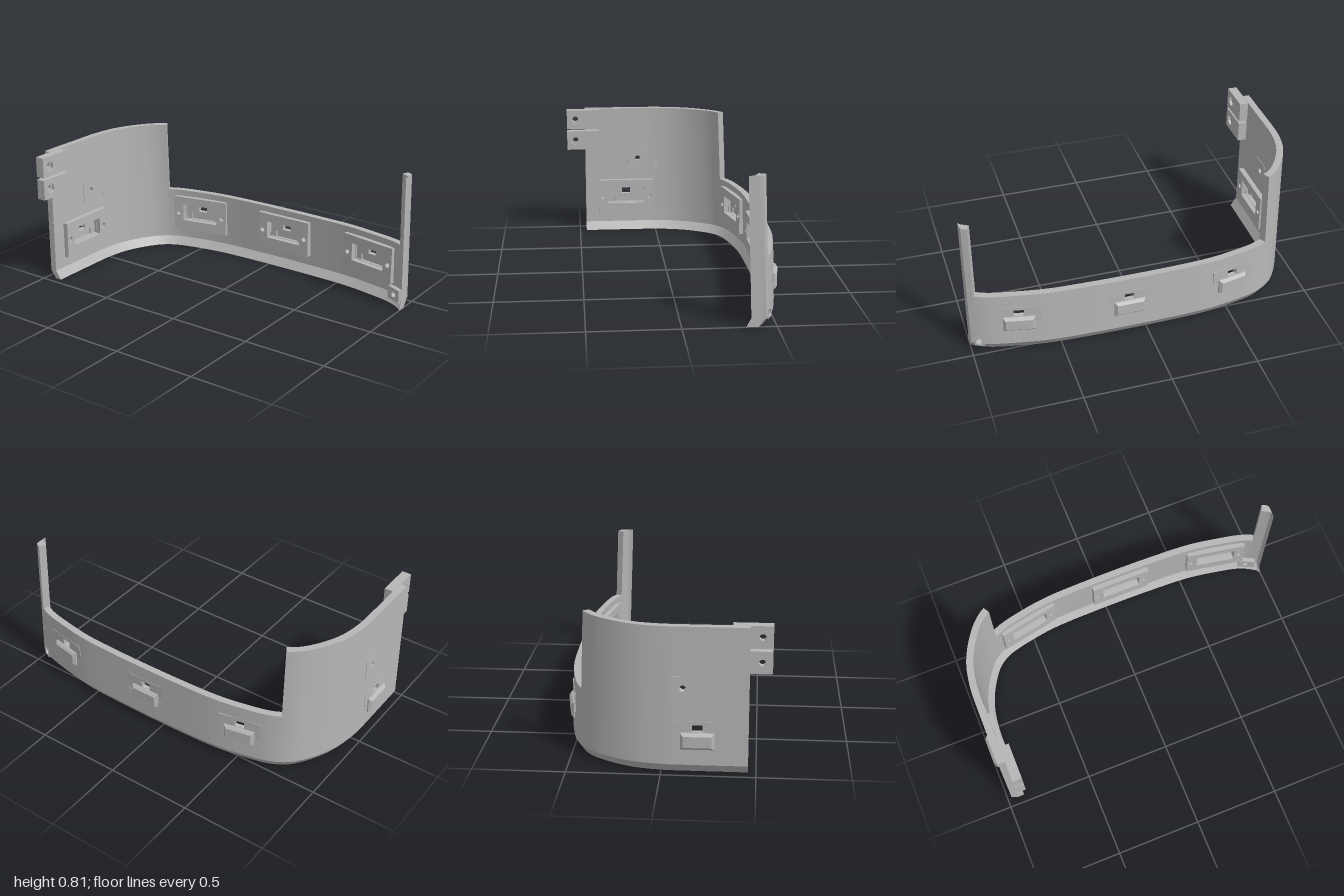
import * as THREE from 'three';
import { mergeGeometries, toCreasedNormals } from 'three/addons/utils/BufferGeometryUtils.js';

const THICK = 0.04, TALL = 0.812, LOW = 0.375, CHAMFER = 0.05;

// outer plan line of the wall: side, rounded corner, back, right end (x, z)
const plan = [[-0.975, 0.458], [-0.975, 0.3], [-0.975, 0.15], [-0.972, 0], [-0.945, -0.155],
  [-0.885, -0.29], [-0.8, -0.405], [-0.7, -0.468], [-0.52, -0.515], [-0.35, -0.54], [-0.1, -0.55],
  [0.105, -0.552], [0.31, -0.55], [0.56, -0.54], [0.73, -0.515], [0.91, -0.475], [1.01, -0.425], [1.06, -0.385]];

export function createModel() {
  const model = new THREE.Group();
  const grey = new THREE.MeshStandardMaterial({ color: 0xb6b6b6 });
  grey.name = 'grey plastic';

  const curve = new THREE.CatmullRomCurve3(plan.map(([x, z]) => new THREE.Vector3(x, 0, z)), false, 'centripetal');
  curve.arcLengthDivisions = 600;
  const length = curve.getLength();

  // distance along the plan at a given x (back) or z (side)
  function find(test, lo, hi) {
    for (let i = 0; i < 40; i++) {
      const mid = (lo + hi) / 2;
      if (test(curve.getPointAt(mid / length))) lo = mid; else hi = mid;
    }
    return lo;
  }
  const atX = (x) => find((p) => p.x < x, 0.4, length);
  const atZ = (z) => find((p) => p.z > z, 0, 0.8);

  function frame(s) {
    const u = Math.min(Math.max(s / length, 0), 1);
    const t = curve.getTangentAt(u);
    return { p: curve.getPointAt(u), n: new THREE.Vector3(-t.z, 0, t.x) };
  }

  // point of the wall at distance s, height y and depth w; foot curls in and back leans
  function wallPoint(s, y, w) {
    const { p, n } = frame(s);
    p.addScaledVector(n, w + 0.035 * Math.max(0, 1 - y / CHAMFER));
    p.z += 0.04 * (y - 0.3) * Math.min(1, Math.max(0, -p.z / 0.4));
    return [Math.min(p.x, 1), y, p.z];
  }

  // closed piece of wall between two distances and two heights
  function block(s0, s1, y0, y1) {
    const ys = y0 < CHAMFER && y1 > CHAMFER ? [y0, CHAMFER, y1] : [y0, y1];
    const loop = [...ys.map((y) => [y, 0]), ...ys.slice().reverse().map((y) => [y, THICK])];
    const m = loop.length, n = Math.max(1, Math.ceil((s1 - s0) / 0.035));
    const pos = [], idx = [];
    for (let i = 0; i <= n; i++) {
      for (const [y, w] of loop) pos.push(...wallPoint(s0 + (s1 - s0) * i / n, y, w));
    }
    for (let i = 0; i < n; i++) {
      for (let j = 0; j < m; j++) {
        const k = (j + 1) % m, a = i * m + j, d = i * m + k;
        idx.push(a, d, d + m, a, d + m, a + m);
      }
    }
    for (let j = 0; j < ys.length - 1; j++) {
      const a = j, b = j + 1, c = m - 2 - j, d = m - 1 - j, e = n * m;
      idx.push(a, c, b, a, d, c, e + a, e + b, e + c, e + a, e + c, e + d);
    }
    const g = new THREE.BufferGeometry();
    g.setAttribute('position', new THREE.Float32BufferAttribute(pos, 3));
    g.setIndex(idx);
    return g;
  }

  // flat plate with holes, from depth z0 to z1
  function plate(w, h, z0, z1, holes = [], y = 0) {
    const shape = rect(THREE.Shape, 0, y, w, h);
    shape.holes.push(...holes);
    const g = new THREE.ExtrudeGeometry(shape, { depth: z1 - z0, bevelEnabled: false, curveSegments: 12 });
    return g.translate(0, 0, z0);
  }
  function rect(Type, x, y, w, h) {
    return new Type([[-1, -1], [1, -1], [1, 1], [-1, 1]].map(([a, b]) => new THREE.Vector2(x + a * w / 2, y + b * h / 2)));
  }
  const slot = (x, y, w, h) => rect(THREE.Path, x, y, w, h);
  const round = (x, y, r) => new THREE.Path().absarc(x, y, r, 0, Math.PI * 2);
  const hex = (x, y, r) => new THREE.Path([0, 1, 2, 3, 4, 5].map((i) =>
    new THREE.Vector2(x + r * Math.sin(i * Math.PI / 3), y + r * Math.cos(i * Math.PI / 3))));

  function add(parent, name, geometry) {
    const mesh = new THREE.Mesh(geometry, grey);
    mesh.name = name;
    parent.add(mesh);
    return mesh;
  }
  // group set on the outer wall line, facing inwards
  function mount(name, s, y) {
    const group = new THREE.Group(), { p, n } = frame(s);
    group.name = name;
    group.position.set(p.x, y, p.z);
    group.rotation.y = Math.atan2(n.x, n.z);
    model.add(group);
    return group;
  }

  // positions along the wall
  const pads = [atZ(0.192), atX(-0.52), atX(0.105), atX(0.732)];
  const sensor = atZ(0.115), tab = atX(0.955);
  const leftEnd = atX(-0.745), column = atX(0.965);
  const cuts = [
    ...pads.map((s) => [s - 0.115, s + 0.115, 0.182, 0.283]),
    [sensor - 0.06, sensor + 0.06, 0.417, 0.537],
    [tab - 0.022, tab + 0.022, 0.038, 0.084],
  ];

  // curved wall: tall side, low back band, tall column, with openings left out
  const stops = [0, leftEnd, column, length, ...cuts.flatMap((c) => [c[0], c[1]])].sort((a, b) => a - b);
  const pieces = [];
  for (let i = 0; i < stops.length - 1; i++) {
    const s0 = stops[i], s1 = stops[i + 1], mid = (s0 + s1) / 2;
    if (s1 - s0 < 1e-5) continue;
    let y = 0;
    for (const c of cuts.filter((k) => k[0] < mid && k[1] > mid).sort((a, b) => a[2] - b[2])) {
      pieces.push(block(s0, s1, y, c[2]));
      y = c[3];
    }
    pieces.push(block(s0, s1, y, mid < leftEnd || mid > column ? TALL : LOW));
  }
  add(model, 'curvedWall', toCreasedNormals(mergeGeometries(pieces), 0.5));

  // mounting pads: inner frame, recessed back plate with window and pocket, outer cover
  for (const s of pads) {
    const pad = mount('mountingPad', s, 0.226);
    add(pad, 'padFrame', plate(0.362, 0.222, 0.025, 0.07,
      [slot(0, 0.007, 0.235, 0.107), round(-0.152, 0, 0.015), round(0.152, 0, 0.015)]));
    add(pad, 'padBack', plate(0.25, 0.125, -0.002, 0.025,
      [slot(0, 0.03, 0.056, 0.04), slot(0, -0.026, 0.155, 0.04)], 0.007));
    const cover = new THREE.ExtrudeGeometry(rect(THREE.Shape, 0, -0.038, 0.15, 0.062),
      { depth: 0.01, bevelThickness: 0.015, bevelSize: 0.015, bevelSegments: 1 });
    add(pad, 'pocketCover', cover.translate(0, 0, -0.01));
  }

  // square plate with a through hole on the side, and a small raised square
  const side = mount('sensorPlate', sensor, 0.477);
  add(side, 'holedPlate', plate(0.13, 0.13, -0.002, 0.043, [round(0, 0, 0.018)]));
  add(side, 'smallSquare', plate(0.035, 0.037, 0.03, 0.046).translate(0.12, -0.052, 0));

  // two bolt blocks at the front edge with hexagonal nut recesses
  for (const y of [0.75, 0.613]) {
    const bolt = new THREE.Group();
    bolt.name = 'boltBlock';
    bolt.position.set(-0.975, y, 0.472);
    bolt.rotation.y = Math.PI / 2;
    add(bolt, 'blockBase', plate(0.206, 0.122, 0.038, 0.075, [round(-0.048, 0, 0.018)]));
    add(bolt, 'nutRecess', plate(0.206, 0.122, 0.075, 0.092, [hex(-0.048, 0, 0.031)]));
    model.add(bolt);
  }

  // drilled tab at the foot of the column
  const foot = mount('cornerTab', tab, 0.061);
  foot.position.z -= 0.01;
  add(foot, 'tabBlock', plate(0.105, 0.078, 0.038, 0.07, [round(0, 0, 0.018)]));
  add(foot, 'tabSleeve', plate(0.055, 0.055, -0.001, 0.038, [round(0, 0, 0.021)]));

  return model;
}
